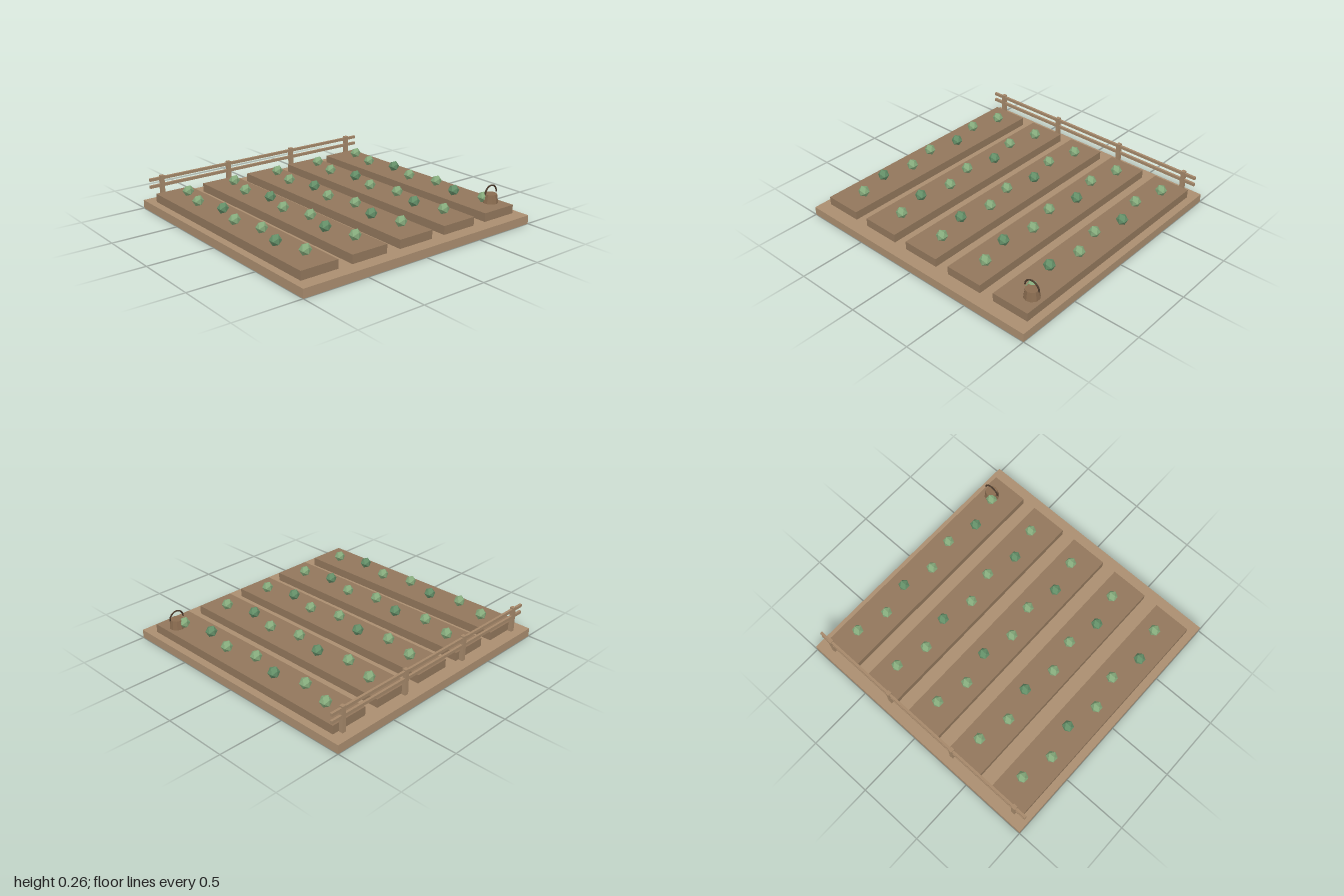
import * as THREE from 'three';

const mat = (color) => new THREE.MeshStandardMaterial({ color, flatShading: true });

export function createModel() {
  const model = new THREE.Group();
  model.name = 'vegetableGarden';
  const ground = mat(0xab8e70), soil = mat(0x92775c), wood = mat(0xa5886a);
  const basketMat = mat(0x8a6c50), handleMat = mat(0x4a3a2c);
  const greens = [mat(0x86ab7c), mat(0x648f68)];

  const add = (name, geometry, material, x, y, z, parent = model) => {
    const mesh = new THREE.Mesh(geometry, material);
    mesh.name = name;
    mesh.position.set(x, y, z);
    parent.add(mesh);
    return mesh;
  };

  // ground slab
  add('ground', new THREE.BoxGeometry(2, 0.064, 2), ground, 0, 0.032, 0);

  // raised beds, each with a staggered row of plants
  const bedGeo = new THREE.BoxGeometry(0.288, 0.064, 1.8);
  const plantGeo = new THREE.IcosahedronGeometry(0.043, 0);
  for (let b = 0; b < 5; b++) {
    const bed = new THREE.Group();
    bed.name = 'bed';
    bed.position.x = (b - 2) * 0.4;
    model.add(bed);
    add('soil', bedGeo, soil, 0, 0.096, 0, bed);
    for (let i = 0; i < 7; i++) {
      const x = i % 2 ? -0.031 : 0.026;
      add('plant', plantGeo, greens[i % 3 === 2 ? 1 : 0], x, 0.165, (i - 3) * 0.24, bed);
    }
  }

  // fence along the back edge
  const fence = new THREE.Group();
  fence.name = 'fence';
  fence.position.z = -0.92;
  model.add(fence);
  for (const x of [-0.88, -0.3, 0.3, 0.88]) {
    add('fencePost', new THREE.BoxGeometry(0.03, 0.192, 0.03), wood, x, 0.16, 0, fence);
  }
  for (const y of [0.181, 0.235]) {
    add('fenceRail', new THREE.BoxGeometry(1.96, 0.022, 0.018), wood, 0, y, 0, fence);
  }

  // basket with an arched handle on the left front bed
  const basket = new THREE.Group();
  basket.name = 'basket';
  basket.position.set(0.86, 0.128, 0.76);
  model.add(basket);
  add('basketBody', new THREE.CylinderGeometry(0.046, 0.057, 0.066, 10), basketMat, 0, 0.033, 0, basket);
  add('basketHandle', new THREE.TorusGeometry(0.058, 0.006, 6, 12, Math.PI), handleMat, 0, 0.07, 0, basket);

  return model;
}
